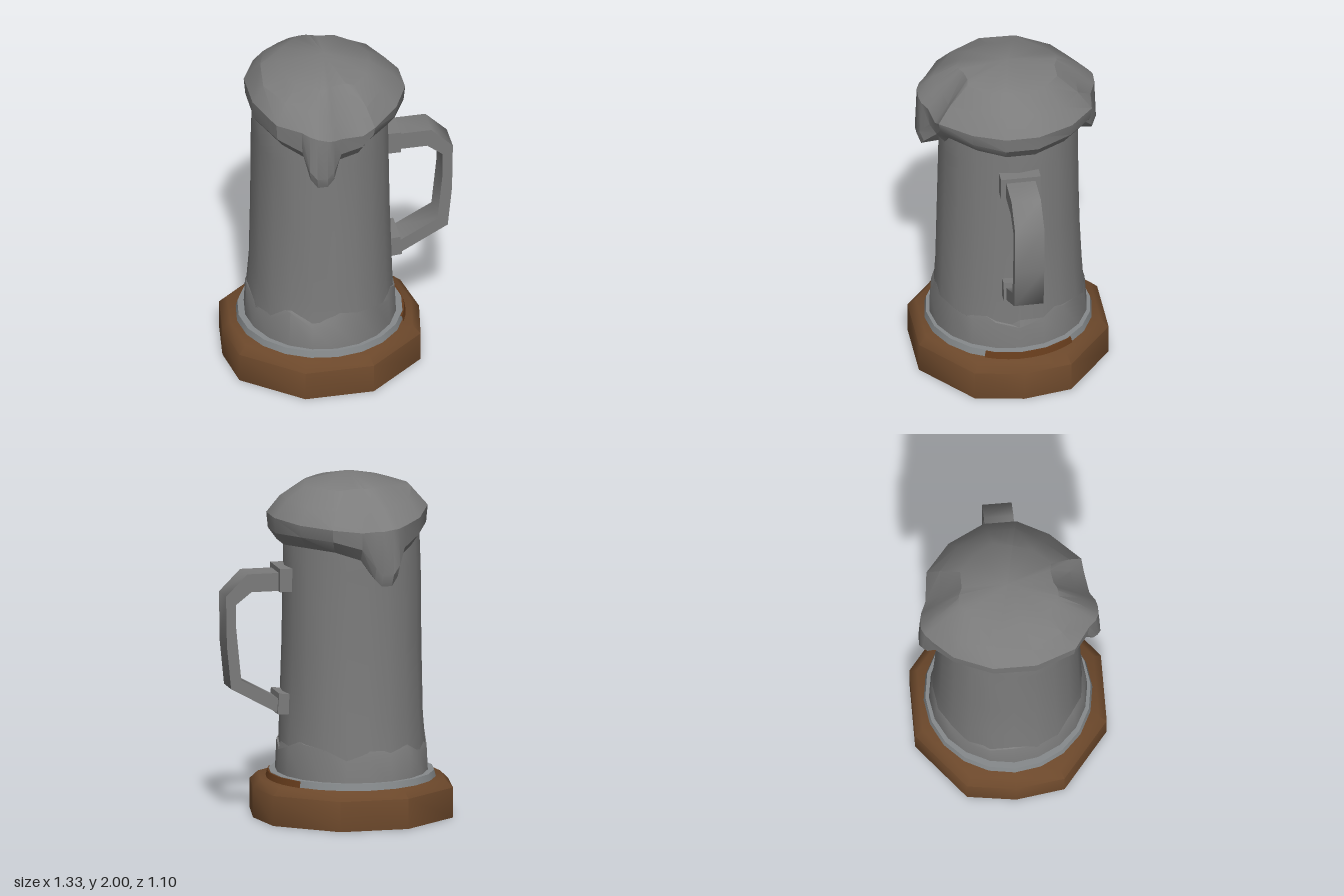
import * as THREE from 'three';
import { toCreasedNormals } from 'three/addons/utils/BufferGeometryUtils.js';

const CX = -0.1; // axis of the tankard, offset to balance the handle

// Seeded noise in -1..1
let seed = 7;
const wobble = () => {
  seed = (seed * 16807) % 2147483647;
  return (seed / 2147483647) * 2 - 1;
};

// Skin a stack of closed rings (listed from top to bottom)
function loft(rings, crease) {
  const n = rings[0].length;
  const index = [];
  for (let i = 0; i < rings.length - 1; i++) {
    for (let j = 0; j < n; j++) {
      const k = (j + 1) % n;
      const a = i * n + j, b = i * n + k;
      index.push(a, b, a + n, b, b + n, a + n);
    }
  }
  const g = new THREE.BufferGeometry();
  g.setAttribute('position', new THREE.Float32BufferAttribute(rings.flat(2), 3));
  g.setIndex(index);
  return toCreasedNormals(g, crease);
}

// Slightly oval, slightly uneven ring round the tankard axis
function ring(y, rx, rz, noise = 0, yNoise = 0, n = 20) {
  return Array.from({ length: n }, (_, j) => {
    const a = (j / n) * Math.PI * 2;
    const k = 1 + wobble() * noise;
    return [CX + Math.cos(a) * rx * k, y + wobble() * yNoise, Math.sin(a) * rz * k];
  });
}

export function createModel() {
  seed = 7;
  const group = new THREE.Group();
  const material = (name, color) => {
    const m = new THREE.MeshStandardMaterial({ color });
    m.name = name;
    return m;
  };
  const grey = material('grey', 0x7c7c7c);
  const paleGrey = material('paleGrey', 0x868a8c);
  const wood = material('wood', 0x6c482b);
  const darkWood = material('darkWood', 0x663c1c);
  const add = (name, geometry, mat, x = 0, y = 0, z = 0) => {
    const mesh = new THREE.Mesh(geometry, mat);
    mesh.name = name;
    mesh.position.set(x, y, z);
    group.add(mesh);
    return mesh;
  };

  // Ten-sided wooden base with a softened top edge
  const outline = [
    [0.58, 0], [0.53, 0.28], [0.2, 0.55], [-0.2, 0.55], [-0.53, 0.28],
    [-0.57, 0], [-0.53, -0.28], [-0.2, -0.55], [0.2, -0.55], [0.53, -0.28],
  ];
  const baseRing = (s, y) => outline.map(([x, z]) => [CX + x * s, y, z * s]);
  add('base', loft([
    baseRing(0, 0.22), baseRing(0.92, 0.22), baseRing(1, 0.175), baseRing(1, 0),
  ], 0.9), wood);
  add('baseUnderside', loft([baseRing(1, 0), baseRing(0, 0)], 0.5), darkWood);

  // Metal rim between base and body, and a wooden lip outside it under the handle
  add('rim', new THREE.CylinderGeometry(0.475, 0.486, 0.045, 20), paleGrey, CX, 0.236, 0);
  add('woodLip', new THREE.CylinderGeometry(0.482, 0.493, 0.043, 8, 1, false,
    THREE.MathUtils.degToRad(65), THREE.MathUtils.degToRad(64)), darkWood, CX, 0.234, 0);

  // Tapering body
  add('body', loft([
    ring(1.72, 0, 0), ring(1.72, 0.388, 0.398),
    ring(1.58, 0.395, 0.403, 0.008), ring(1.47, 0.395, 0.403, 0.006, 0.02),
    ring(1.0, 0.4, 0.411, 0.004),
    ring(0.6, 0.41, 0.424, 0.008, 0.05), ring(0.4, 0.422, 0.434, 0.012, 0.04),
    ring(0.24, 0.43, 0.445),
  ], 0.7), grey);

  // Uneven band at the foot
  add('footBand', loft([
    ring(0.47, 0.4, 0.42, 0, 0.05), ring(0.43, 0.425, 0.444, 0.012, 0.05),
    ring(0.24, 0.438, 0.456),
  ], 0.9), grey);

  // Foam outline seen from above: x, z, height of widest point, lower edge
  const foam = [
    [0.38, 0.09, 1.76, 1.6], [0.29, 0.27, 1.75, 1.61], [0.13, 0.44, 1.74, 1.62],
    [0.06, 0.45, 1.7, 1.55], [-0.07, 0.47, 1.71, 1.53], [-0.12, 0.5, 1.72, 1.45],
    [-0.16, 0.51, 1.73, 1.41], [-0.22, 0.51, 1.75, 1.41], [-0.26, 0.49, 1.76, 1.46],
    [-0.3, 0.45, 1.77, 1.56], [-0.43, 0.36, 1.78, 1.61], [-0.52, 0.13, 1.8, 1.62],
    [-0.52, -0.12, 1.8, 1.63], [-0.42, -0.34, 1.77, 1.6], [-0.31, -0.45, 1.75, 1.55],
    [-0.26, -0.49, 1.74, 1.46], [-0.22, -0.51, 1.74, 1.41], [-0.16, -0.51, 1.73, 1.41],
    [-0.12, -0.5, 1.73, 1.45], [-0.05, -0.47, 1.72, 1.55],
    [0.12, -0.45, 1.74, 1.6], [0.28, -0.31, 1.75, 1.61], [0.38, -0.1, 1.76, 1.6],
  ];
  // Drips scale differently from the rest of the rim and stay free of noise
  const foamRing = (scale, dripScale, height, noise = 0) => foam.map(([x, z, mid, low]) => {
    const w = low < 1.58 ? 0 : wobble() * noise;
    const s = (low < 1.5 ? dripScale : scale) * (1 + w);
    return [-0.08 + (x + 0.08) * s, height(mid, low) - w * 0.2, z * s];
  });
  add('foam', loft([
    foamRing(0, 0, () => 2),
    foamRing(0.56, 0.56, () => 1.94, 0.07),
    foamRing(0.82, 0.82, (mid) => mid + 0.1, 0.05),
    foamRing(1, 1, (mid) => mid),
    foamRing(0.98, 1.02, (mid, low) => low + 0.07),
    foamRing(0.87, 0.97, (mid, low) => low),
    foamRing(0.74, 0.78, (mid, low) => low + 0.02),
    foamRing(0.7, 0.7, () => 1.66),
  ], 0.5), grey);

  // Angular handle
  const handle = new THREE.Shape([
    [0.27, 1.33], [0.51, 1.33], [0.6, 1.26], [0.6, 1.12], [0.57, 0.82], [0.33, 0.69],
    [0.27, 0.69], [0.27, 0.62], [0.34, 0.61], [0.63, 0.77], [0.655, 1.02],
    [0.66, 1.31], [0.535, 1.435], [0.27, 1.435],
  ].map(([x, y]) => new THREE.Vector2(x, y)));
  add('handle', toCreasedNormals(
    new THREE.ExtrudeGeometry(handle, { depth: 0.17, bevelEnabled: false }), 1.2),
  grey, 0, 0, -0.085);

  // Mounts joining the handle to the body
  add('upperMount', new THREE.BoxGeometry(0.1, 0.135, 0.23), grey, 0.3, 1.395, 0);
  const lowerMount = add('lowerMount', new THREE.BoxGeometry(0.1, 0.12, 0.2), grey, 0.305, 0.67, 0);
  lowerMount.rotation.z = 0.08;

  return group;
}
